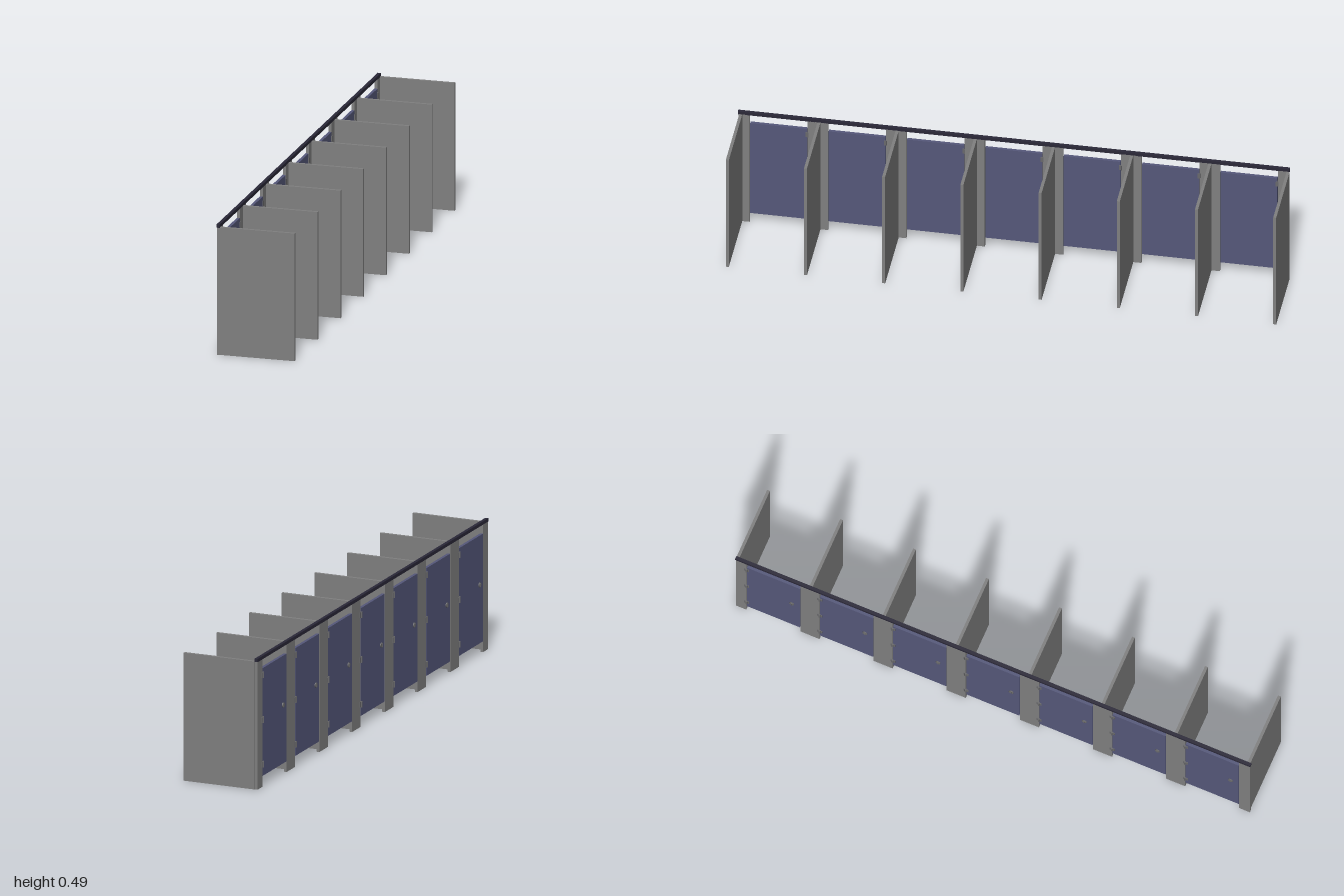
import * as THREE from 'three';

const mat = (name, color) => {
  const m = new THREE.MeshStandardMaterial({ color });
  m.name = name;
  return m;
};

export function createModel() {
  const panelGrey = mat('panel grey', 0x808080);
  const doorBlue = mat('door blue', 0x55587a);
  const railDark = mat('rail dark', 0x2a2838);
  const metal = mat('hardware metal', 0x6a6a6c);

  const model = new THREE.Group();
  model.name = 'cubicleRow';

  // Box given by its minimum and maximum corners
  const box = (parent, name, material, [x0, y0, z0], [x1, y1, z1]) => {
    const mesh = new THREE.Mesh(new THREE.BoxGeometry(x1 - x0, y1 - y0, z1 - z0), material);
    mesh.position.set((x0 + x1) / 2, (y0 + y1) / 2, (z0 + z1) / 2);
    mesh.name = name;
    parent.add(mesh);
    return mesh;
  };
  const cylinder = (parent, name, radius, length, x, y, z, alongX) => {
    const mesh = new THREE.Mesh(new THREE.CylinderGeometry(radius, radius, length, 16), metal);
    if (alongX) mesh.rotation.z = Math.PI / 2;
    mesh.position.set(x, y, z);
    mesh.name = name;
    parent.add(mesh);
  };

  const stalls = 7;
  const pitch = 0.284;
  const front = -0.142; // outer face of doors and pilasters
  const inner = -0.131;
  const height = 0.475;

  // Dividing panels and the pilasters they meet
  for (let i = 0; i <= stalls; i++) {
    const zp = -0.9945 + i * 0.2834;
    box(model, 'dividerPanel', panelGrey, [inner, 0, zp - 0.0055], [0.147, height, zp + 0.0055]);
    const zc = (i - stalls / 2) * pitch;
    box(model, 'pilaster', panelGrey,
      [front, 0, Math.max(-0.998, zc - 0.037)], [inner, height, Math.min(0.998, zc + 0.037)]);
  }

  // Doors with hinges on the -z edge and a latch near the +z edge
  for (let i = 0; i < stalls; i++) {
    const door = new THREE.Group();
    door.name = 'doorAssembly';
    door.position.z = (i - (stalls - 1) / 2) * pitch;
    model.add(door);
    box(door, 'door', doorBlue, [front, 0.04, -0.103], [inner, 0.44, 0.103]);
    for (const y of [0.084, 0.25, 0.416]) {
      cylinder(door, 'hingeBarrel', 0.0035, 0.023, front - 0.0025, y, -0.104, false);
      box(door, 'hingeLeaf', metal, [front - 0.002, y - 0.01, -0.113], [front, y + 0.01, -0.094]);
      box(door, 'hingeInnerLeaf', metal, [inner, y - 0.01, -0.108], [inner + 0.003, y + 0.01, -0.098]);
    }
    cylinder(door, 'latchDisc', 0.009, 0.004, front - 0.002, 0.258, 0.072, true);
    box(door, 'latchTurn', metal, [front - 0.006, 0.251, 0.0705], [front - 0.004, 0.265, 0.0735]);
  }

  // Head rail tying the pilasters together
  box(model, 'headRail', railDark, [-0.143, 0.474, -1], [-0.131, 0.486, 1]);

  return model;
}
